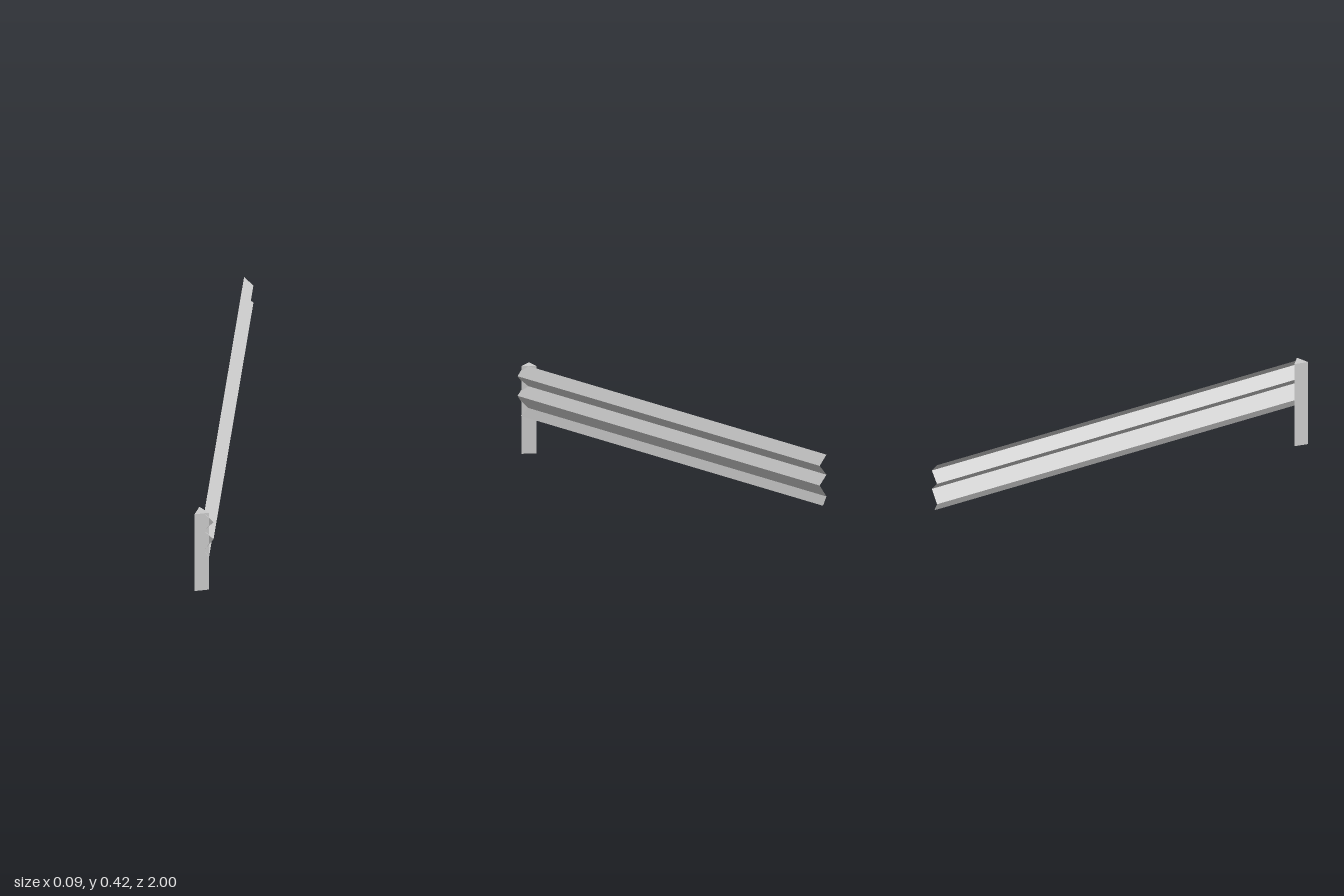
import * as THREE from 'three';

const material = new THREE.MeshStandardMaterial({
  color: 0xcccccc, flatShading: true, side: THREE.DoubleSide,
});

// Triangular upright post, extruded along y from its [x, z] plan
function createPost() {
  const plan = [[-0.043, 1], [0.022, 0.981], [-0.027, 0.935]];
  const shape = new THREE.Shape(plan.map(([x, z]) => new THREE.Vector2(x, -z)));
  const geometry = new THREE.ExtrudeGeometry(shape, { depth: 0.42, bevelEnabled: false });
  geometry.rotateX(-Math.PI / 2);
  const post = new THREE.Mesh(geometry, material);
  post.name = 'post';
  return post;
}

// Thin corrugated sheet: a zigzag [x, y] section swept along z
function createRail() {
  const section = [
    [0, 0.419], [0.043, 0.374], [0, 0.323], [0.043, 0.28], [0, 0.219], [0.022, 0.179],
  ];
  const zFront = 0.987, zBack = -1;
  const positions = [];
  for (let i = 0; i < section.length - 1; i++) {
    const [x0, y0] = section[i];
    const [x1, y1] = section[i + 1];
    positions.push(
      x0, y0, zFront, x1, y1, zFront, x1, y1, zBack,
      x0, y0, zFront, x1, y1, zBack, x0, y0, zBack,
    );
  }
  const geometry = new THREE.BufferGeometry();
  geometry.setAttribute('position', new THREE.Float32BufferAttribute(positions, 3));
  geometry.computeVertexNormals();
  const rail = new THREE.Mesh(geometry, material);
  rail.name = 'corrugatedRail';
  return rail;
}

export function createModel() {
  const group = new THREE.Group();
  group.name = 'guardRail';
  group.add(createPost(), createRail());
  return group;
}
